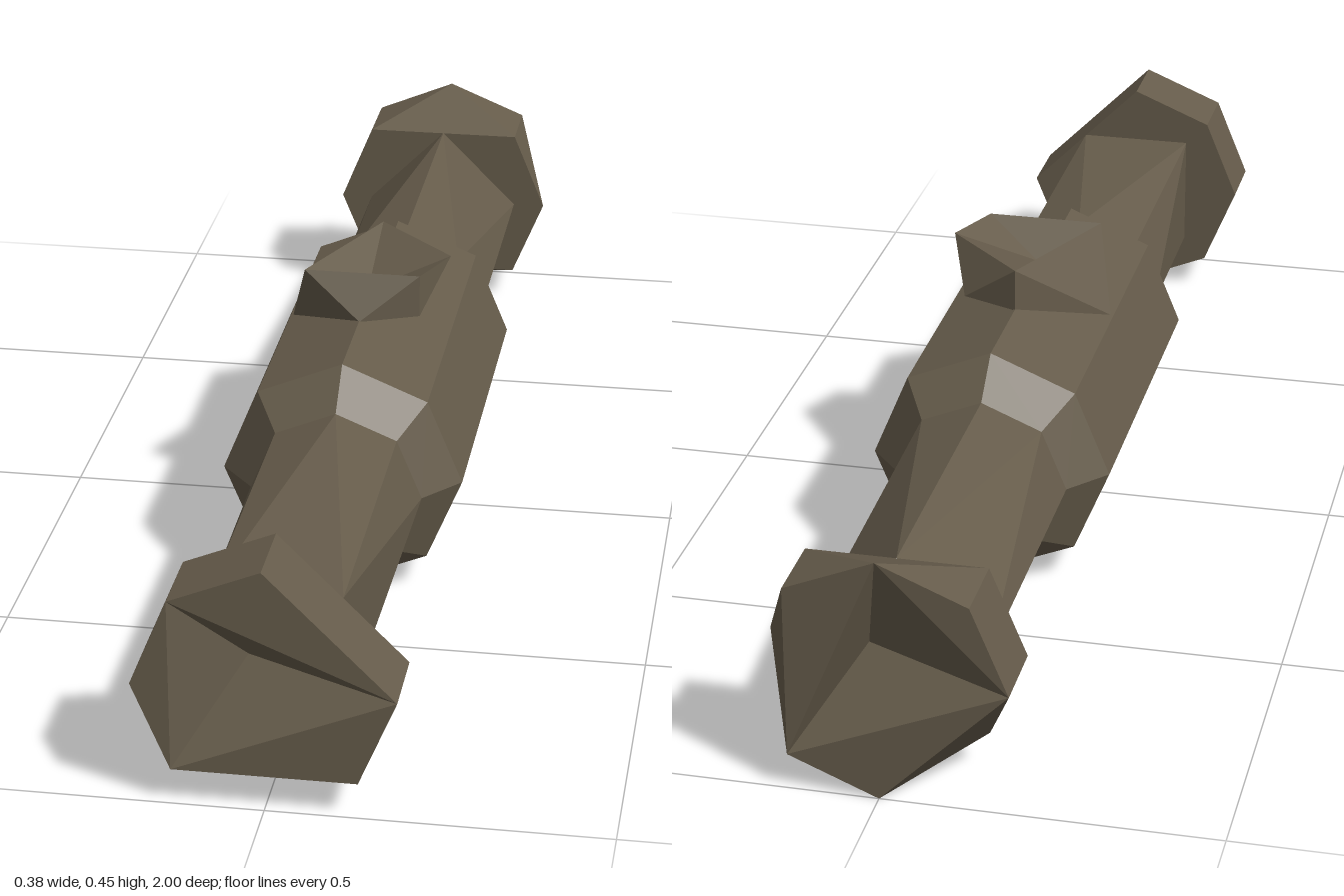
import * as THREE from 'three';

const CY = 0.19; // height of the tube axis
const BIG = 0.19, SMALL = 0.135;
const ALL = [0, 1, 2, 3, 4, 5, 6, 7];

// Corners of an octagon (chosen by index, counter-clockwise) around the z axis
const ring = (r, z, ks = ALL) => ks.map((k) =>
  new THREE.Vector3(r * Math.cos(k * Math.PI / 4), r * Math.sin(k * Math.PI / 4), z));

// Angles of a ring's corners, always increasing, with the first repeated one turn later
function angles(points) {
  const a = points.map((p) => {
    const t = Math.atan2(p.y, p.x);
    return t < -1e-6 ? t + 2 * Math.PI : t;
  });
  return [...a, a[0] + 2 * Math.PI];
}

// Triangles joining ring a (lower z) to ring b (higher z), even with different corner counts
function bridge(a, b) {
  const ta = angles(a), tb = angles(b), out = [];
  let i = 0, j = 0;
  while (i < a.length || j < b.length) {
    const stepA = j >= b.length || (i < a.length && ta[i] + ta[i + 1] <= tb[j] + tb[j + 1]);
    const p = a[i % a.length], q = b[j % b.length];
    if (stepA) out.push(p, a[++i % a.length], q);
    else out.push(p, b[++j % b.length], q);
  }
  return out;
}

// Cone of triangles from a ring to a centre point
function fan(points, centre, flip = false) {
  return points.flatMap((p, i) => {
    const q = points[(i + 1) % points.length];
    return flip ? [q, p, centre] : [p, q, centre];
  });
}

// End face of six corners with a sunken three-sided lens
function lensFace(points, start, apex, flip) {
  const at = (i) => points[i % points.length];
  const inner = [0, 2, 4].map((s) => at(start + s));
  const rim = [0, 2, 4].flatMap((s) => {
    const t = [at(start + s), at(start + s + 1), at(start + s + 2)];
    return flip ? t.reverse() : t;
  });
  return [...rim, ...fan(inner, apex, flip)];
}

// Unshared corners give flat facets
function facetMesh(name, points, material) {
  const geometry = new THREE.BufferGeometry().setFromPoints(points);
  geometry.computeVertexNormals();
  const mesh = new THREE.Mesh(geometry, material);
  mesh.name = name;
  return mesh;
}

export function createModel() {
  const group = new THREE.Group();
  group.name = 'scope';
  const metal = new THREE.MeshStandardMaterial({ color: 0x665c4b });
  metal.name = 'brown metal';

  // Tube with the thicker middle housing
  const sections = [
    ring(SMALL, -0.88, [0, 2, 4, 6]),
    ring(SMALL, -0.365),
    ring(BIG, -0.3),
    ring(BIG, 0.3),
    ring(SMALL, 0.365),
    ring(SMALL, 0.88, [1, 3, 5, 7]),
  ];
  const tube = sections.slice(1).flatMap((s, i) => bridge(sections[i], s));
  group.add(facetMesh('tube', tube, metal));

  // Front lens hood
  const frontInner = ring(BIG, 0.88, [0, 2, 3, 4, 5, 6, 7]);
  const frontOuter = ring(BIG, 1, [0, 2, 3, 4, 5, 7]);
  group.add(facetMesh('frontHood', [
    ...bridge(frontInner, frontOuter),
    ...fan(frontInner, new THREE.Vector3(0, 0, 0.88), true),
    ...lensFace(frontOuter, 0, new THREE.Vector3(-0.04, 0, 0.89), false),
  ], metal));

  // Rear eyepiece
  const rearInner = ring(BIG, -0.88, [0, 1, 3, 4, 5, 7]);
  const rearOuter = ring(BIG, -1, [1, 2, 3, 4, 6, 7]);
  group.add(facetMesh('eyepiece', [
    ...bridge(rearOuter, rearInner),
    ...fan(rearInner, new THREE.Vector3(0, 0, -0.88)),
    ...lensFace(rearOuter, 1, new THREE.Vector3(0.04, 0, -0.89), true),
  ], metal));
  group.children.forEach((part) => { part.position.y = CY; });

  // Adjustment knob, made along z and turned upright
  const v = (x, y, z) => new THREE.Vector3(x, y, z);
  const base = [v(0.092, 0.092, 0.378), v(0, 0.13, 0.378), v(-0.13, 0, 0.326),
    v(0, -0.13, 0.378), v(0.092, -0.092, 0.378)];
  const top = [v(0.13, 0, 0.447), v(0, 0.13, 0.447), v(-0.094, -0.092, 0.447), v(0.092, -0.092, 0.447)];
  const knob = facetMesh('knob', [
    ...bridge(base, top),
    ...fan(top, v(0, -0.035, 0.395)),
    ...fan(base, v(0, 0, 0.33), true),
  ], metal);
  knob.rotation.x = -Math.PI / 2;
  group.add(knob);

  return group;
}
